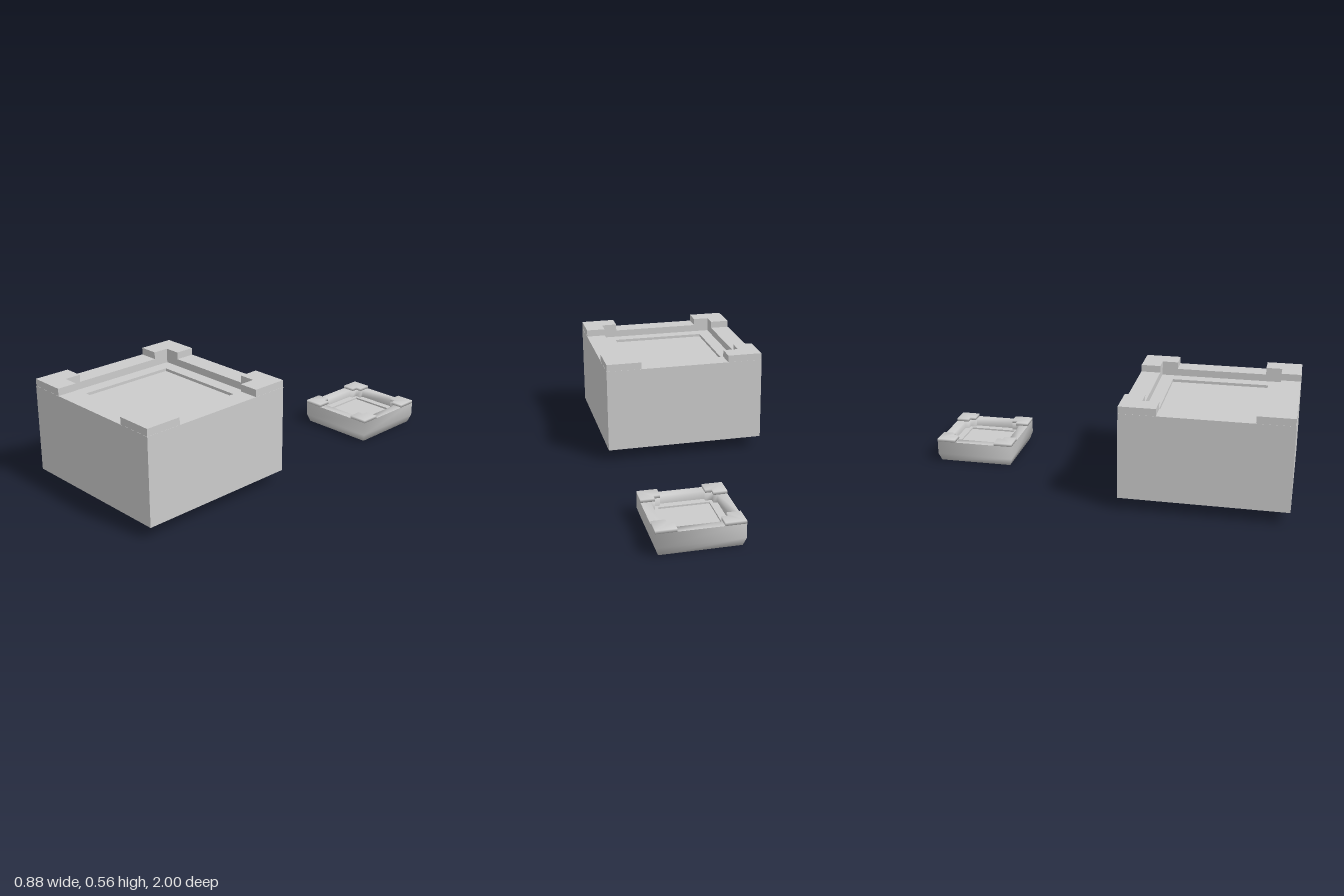
import * as THREE from 'three';
import { mergeVertices } from 'three/addons/utils/BufferGeometryUtils.js';

const grey = () => new THREE.MeshStandardMaterial({ color: 0xcccccc });

// Repeats the points of one corner around the four corners of a ring.
function fourCorners(points) {
  const ring = [];
  let corner = points;
  for (let i = 0; i < 4; i++) {
    ring.push(...corner);
    corner = corner.map(([x, z]) => [-z, x]);
  }
  return ring;
}
const square = (h) => fourCorners([[h, h]]);
// Cross-shaped outline: arms reach a, are 2b wide, with the corners stepped in to c.
const cross = (a, b, c) => fourCorners([[a, b], [c, b], [c, c], [b, c], [b, a]]);
const steppedSquare = (h) => cross(h, h / 2, h);

// Skins a list of [ring, y] sections, optionally closing the first and last.
function loft(sections, { capStart = false, capEnd = false, smooth = false }) {
  const pos = [], index = [];
  const n = sections[0][0].length;
  for (const [ring, y] of sections) for (const [x, z] of ring) pos.push(x, y, z);
  for (let s = 0; s < sections.length - 1; s++) {
    for (let i = 0; i < n; i++) {
      const a = s * n + i, b = s * n + (i + 1) % n;
      index.push(a, a + n, b, b, a + n, b + n);
    }
  }
  const cap = (s, up) => {
    const centre = pos.length / 3;
    pos.push(0, sections[s][1], 0);
    for (let i = 0; i < n; i++) {
      const a = s * n + i, b = s * n + (i + 1) % n;
      index.push(centre, up ? b : a, up ? a : b);
    }
  };
  if (capStart) cap(0, false);
  if (capEnd) cap(sections.length - 1, true);
  let geo = new THREE.BufferGeometry();
  geo.setAttribute('position', new THREE.Float32BufferAttribute(pos, 3));
  geo.setIndex(index);
  geo = smooth ? mergeVertices(geo) : geo.toNonIndexed();
  geo.computeVertexNormals();
  return geo;
}

// Welds a geometry so its shading runs softly over the edges.
function soften(geo) {
  geo.deleteAttribute('normal');
  geo.deleteAttribute('uv');
  const welded = mergeVertices(geo);
  welded.computeVertexNormals();
  return welded;
}

function addMesh(group, name, geo) {
  const mesh = new THREE.Mesh(geo, grey());
  mesh.name = name;
  group.add(mesh);
  return mesh;
}

// Four L-shaped raised corners standing on the rim.
function addCorners(group, outer, inner, notch, y0, y1, smooth) {
  const shape = new THREE.Shape([
    [outer, outer], [inner, outer], [inner, notch],
    [notch, notch], [notch, inner], [outer, inner],
  ].map(([x, y]) => new THREE.Vector2(x, y)));
  let geo = new THREE.ExtrudeGeometry(shape, { depth: y1 - y0, bevelEnabled: false });
  geo.rotateX(-Math.PI / 2).translate(0, y0, 0);
  if (smooth) geo = soften(geo);
  for (let i = 0; i < 4; i++) {
    addMesh(group, 'raisedCorner' + (i + 1), geo).rotation.y = i * Math.PI / 2;
  }
}

export function createModel() {
  const model = new THREE.Group();
  model.name = 'blockAndTray';

  // Large block with a two-step recess in its top
  const block = new THREE.Group();
  block.name = 'largeBlock';
  block.position.z = 0.5615;
  addMesh(block, 'blockBody', loft([
    [square(0.4375), 0.066],
    [square(0.4375), 0.525],
    [square(0.331), 0.525],
    [square(0.331), 0.486],
    [square(0.262), 0.486],
    [square(0.262), 0.471],
  ], { capStart: true, capEnd: true }));
  addCorners(block, 0.4365, 0.245, 0.331, 0.525, 0.563, false);
  model.add(block);

  // Small soft-edged tray behind it
  const tray = new THREE.Group();
  tray.name = 'smallTray';
  tray.position.set(0.2025, 0, -0.7825);
  const half = 0.2175, arm = 0.168, armHalf = 0.114, notch = 0.147;
  const opening = cross(arm, armHalf, notch);
  // Tapered outer shell
  addMesh(tray, 'trayShell', loft([
    [square(0.2025), 0],
    [square(half), 0.043],
    [square(half), 0.117],
  ], { capStart: true, smooth: true }));
  // Rim and the wall dropping into the recess
  addMesh(tray, 'trayRim', loft([
    [steppedSquare(half), 0.117],
    [opening, 0.117],
    [opening, 0.075],
  ], { smooth: true }));
  // Ledge and sunken floor
  addMesh(tray, 'trayFloor', loft([
    [opening, 0.075],
    [steppedSquare(0.13), 0.075],
    [steppedSquare(0.13), 0.066],
  ], { capEnd: true }));
  addCorners(tray, half, armHalf, notch, 0.117, 0.133, true);
  model.add(tray);

  return model;
}
